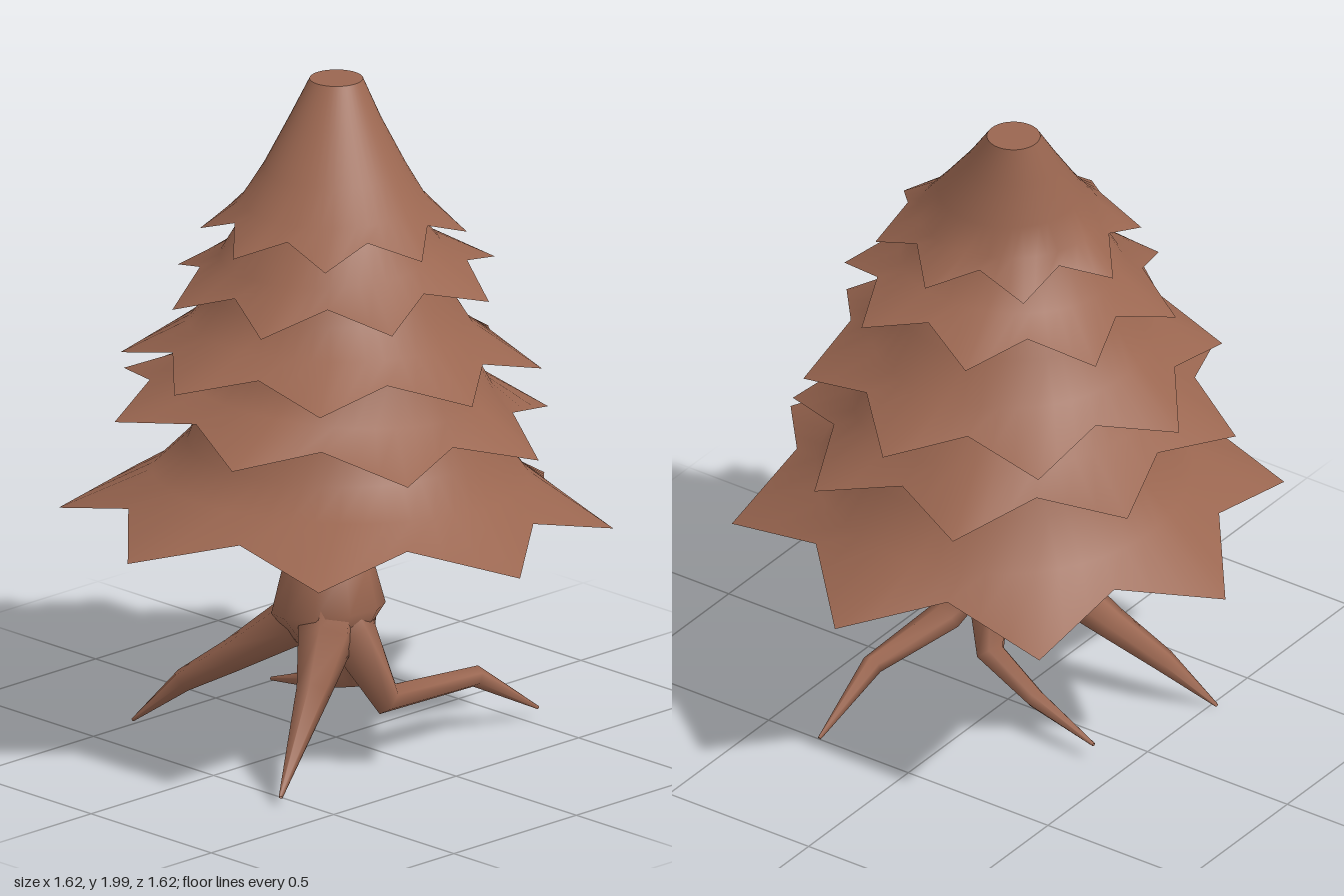
import * as THREE from 'three';

const material = new THREE.MeshStandardMaterial({ color: 0x9a6650, side: THREE.DoubleSide });
const SEGMENTS = 48; // around each foliage tier
const POINTS = 8;    // star tips on each tier

// Skin a list of equally sized closed rings with smooth normals
function loft(rings) {
  const n = rings[0].length;
  const positions = rings.flat().flatMap((p) => [p.x, p.y, p.z]);
  const index = [];
  for (let j = 0; j < rings.length - 1; j++) {
    for (let i = 0; i < n; i++) {
      const a = j * n + i, b = j * n + (i + 1) % n;
      index.push(a, a + n, b, b, a + n, b + n);
    }
  }
  const geometry = new THREE.BufferGeometry();
  geometry.setAttribute('position', new THREE.Float32BufferAttribute(positions, 3));
  geometry.setIndex(index);
  geometry.computeVertexNormals();
  return geometry;
}

function addMesh(parent, name, geometry) {
  const mesh = new THREE.Mesh(geometry, material);
  mesh.name = name;
  parent.add(mesh);
}

// Round horizontal ring; the lean tilts it along x and z
function roundRing(x, y, z, r, lean = [0, 0]) {
  return Array.from({ length: SEGMENTS }, (_, i) => {
    const a = (i / SEGMENTS) * Math.PI * 2;
    const dx = Math.cos(a) * r, dz = Math.sin(a) * r;
    return new THREE.Vector3(x + dx, y + dx * lean[0] + dz * lean[1], z + dz);
  });
}

// Star-shaped rim with straight edges between tips and notches
function starRing({ center: [cx, cz], phase, tip, notch, lean }) {
  const corners = Array.from({ length: POINTS * 2 }, (_, k) => {
    const [r, y] = k % 2 ? notch : tip;
    const a = THREE.MathUtils.degToRad(phase) + (k * Math.PI) / POINTS;
    const dx = Math.cos(a) * r, dz = Math.sin(a) * r;
    return new THREE.Vector3(cx + dx, y + dx * lean[0] + dz * lean[1], cz + dz);
  });
  const per = SEGMENTS / corners.length;
  const ring = Array.from({ length: SEGMENTS }, (_, i) => {
    const k = Math.floor(i / per);
    return corners[k].clone().lerp(corners[(k + 1) % corners.length], (i % per) / per);
  });
  // Line the first ring point up with angle zero
  const shift = Math.round((phase / 360) * SEGMENTS);
  return ring.map((_, i) => ring[(i - shift + SEGMENTS) % SEGMENTS]);
}

// Tapered limb through [x, y, z, radius] stations
function limb(stations, sides) {
  const pts = stations.map((s) => new THREE.Vector3(s[0], s[1], s[2]));
  const ref = new THREE.Vector3(0.83, 0.1, -0.55);
  const rings = pts.map((p, j) => {
    const before = p.clone().sub(pts[Math.max(j - 1, 0)]).normalize();
    const after = pts[Math.min(j + 1, pts.length - 1)].clone().sub(p).normalize();
    const t = before.add(after).normalize();
    const u = ref.clone().addScaledVector(t, -ref.dot(t)).normalize();
    const v = u.clone().cross(t);
    ref.copy(u);
    return Array.from({ length: sides }, (_, i) => {
      const a = (i / sides) * Math.PI * 2;
      return p.clone()
        .addScaledVector(u, Math.cos(a) * stations[j][3])
        .addScaledVector(v, Math.sin(a) * stations[j][3]);
    });
  });
  return loft(rings);
}

// Tiers from bottom to top: tip and notch are [radius, y], body rows are [x, y, z, radius]
const tiers = [
  { center: [0, 0], phase: 3, tip: [0.81, 0.68], notch: [0.64, 0.755], lean: [-0.05, 0.02],
    body: [[0.02, 0.815, 0, 0.55], [0.03, 0.92, 0, 0.455], [0.03, 1.06, 0, 0.4], [0.02, 1.16, 0, 0.36]] },
  { center: [0.01, -0.03], phase: 25, tip: [0.67, 0.99], notch: [0.53, 1.045], lean: [-0.06, -0.05],
    body: [[0.02, 1.1, -0.02, 0.46], [0.01, 1.19, -0.01, 0.395], [0, 1.3, 0, 0.34]] },
  { center: [-0.01, -0.01], phase: 2.5, tip: [0.615, 1.165], notch: [0.49, 1.225], lean: [-0.05, 0.015],
    body: [[-0.01, 1.28, -0.01, 0.415], [-0.01, 1.38, -0.01, 0.345], [-0.02, 1.48, -0.01, 0.29]] },
  { center: [-0.01, 0], phase: 24.5, tip: [0.5, 1.405], notch: [0.39, 1.465], lean: [0.05, 0.01],
    body: [[-0.02, 1.51, 0, 0.325], [-0.02, 1.6, 0, 0.265], [0, 1.68, -0.01, 0.21]] },
  { center: [-0.03, 0.02], phase: 3, tip: [0.39, 1.578], notch: [0.305, 1.635], lean: [0.01, 0],
    body: [[-0.02, 1.67, 0.01, 0.27], [0.005, 1.76, -0.01, 0.21], [0.04, 1.89, -0.045, 0.135], [0.07, 2, -0.07, 0.078]] },
];

// Roots as [x, y, z, radius] stations from trunk to tip
const roots = {
  leftForwardRoot: [[-0.1, 0.46, 0.1, 0.08], [-0.09, 0.38, 0.16, 0.075], [-0.03, 0.19, 0.245, 0.05],
    [0.31, 0.185, 0.265, 0.032], [0.54, 0.04, 0.29, 0.005]],
  rightForwardRoot: [[-0.13, 0.46, 0.1, 0.09], [-0.18, 0.38, 0.14, 0.085], [-0.29, 0.26, 0.2, 0.052],
    [-0.55, 0.03, 0.33, 0.006]],
  rightBackRoot: [[-0.12, 0.46, 0.02, 0.09], [-0.14, 0.38, -0.05, 0.075], [-0.2, 0.25, -0.23, 0.05],
    [-0.25, 0.15, -0.38, 0.035], [-0.32, 0.01, -0.52, 0.005]],
  leftBackRoot: [[-0.03, 0.46, 0.06, 0.09], [0.01, 0.37, 0.06, 0.075], [0.06, 0.19, 0.02, 0.046],
    [0.1, 0.12, -0.17, 0.03], [0.13, 0.06, -0.4, 0.006]],
};

export function createModel() {
  const model = new THREE.Group();
  model.name = 'tree';

  // Foliage tiers, each with a flared skirt and a hollowed underside
  tiers.forEach((tier, k) => {
    const group = new THREE.Group();
    group.name = `foliageTier${k + 1}`;
    const rim = starRing(tier);
    const body = tier.body.map((row, j) => roundRing(...row, j ? [0, 0] : tier.lean));
    addMesh(group, 'skirt', loft([rim, ...body]));

    const [cx, cz] = tier.center;
    const y = tier.notch[1];
    addMesh(group, 'underside', loft([
      roundRing(cx, y + 0.055, cz, 0),
      roundRing(cx, y + 0.03, cz, tier.notch[0] * 0.6, tier.lean),
      rim,
    ]));
    model.add(group);
  });

  // Flat cut at the crown
  const crown = tiers.at(-1).body.at(-1);
  addMesh(model, 'crownCap', loft([roundRing(...crown), roundRing(crown[0], crown[1], crown[2], 0)]));

  // Leaning trunk, swollen where the roots split off
  addMesh(model, 'trunk', limb([
    [-0.07, 0.3, 0.08, 0.02], [-0.08, 0.36, 0.07, 0.11], [-0.09, 0.44, 0.06, 0.168],
    [-0.07, 0.56, 0.04, 0.135], [-0.055, 0.7, 0.01, 0.105], [-0.04, 0.88, 0, 0.09],
  ], 10));

  for (const [name, stations] of Object.entries(roots)) addMesh(model, name, limb(stations, 6));

  return model;
}
